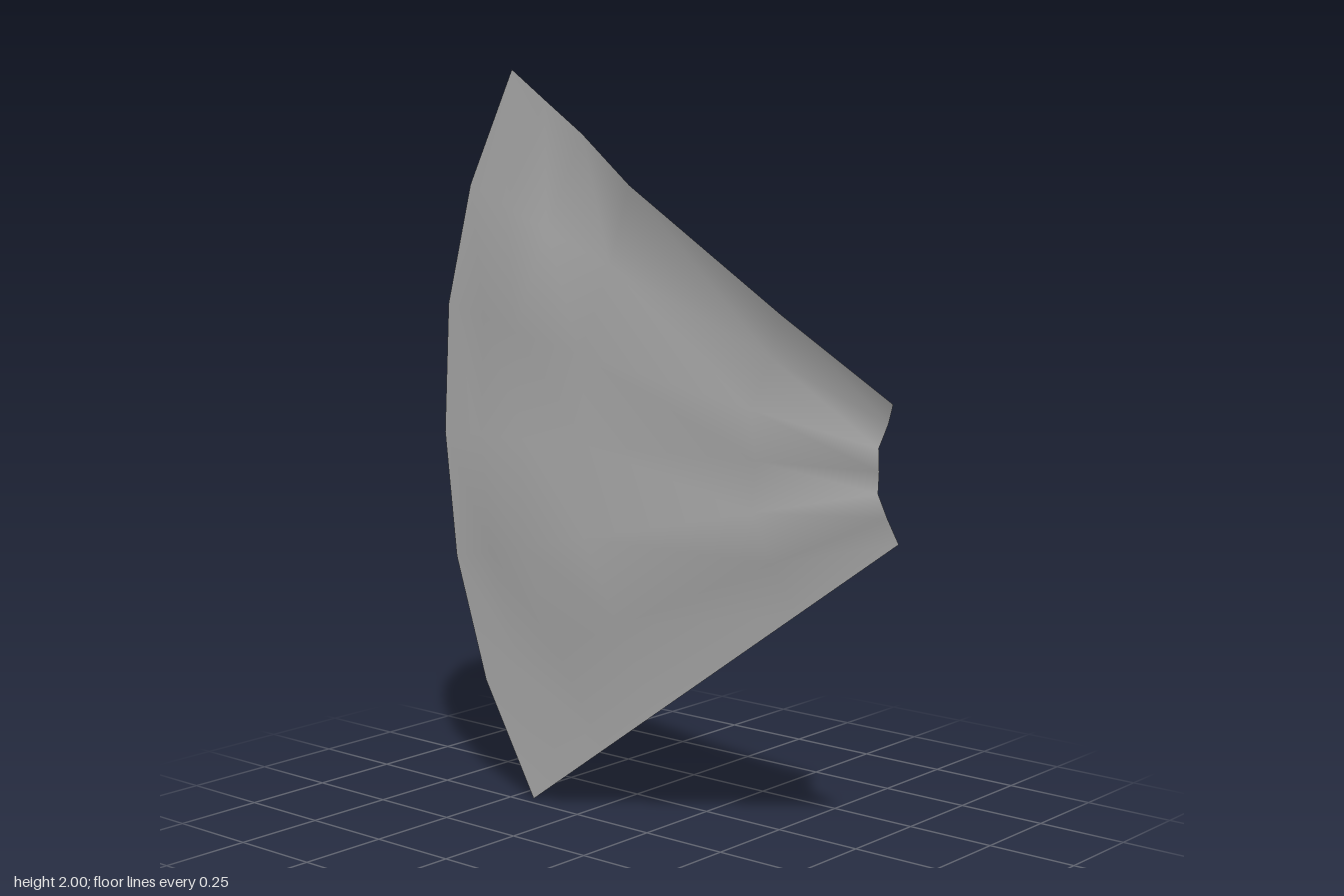
import * as THREE from 'three';

// One row per pleat spoke, from the top edge to the bottom edge:
// outer end, inner end, and depth at each ring along the spoke
const RINGS = [0, 0.1, 0.21, 0.37, 0.75, 1];
const RIDGE = [-0.03, -0.018, 0.03, 0.03, 0.018, -0.012];
const VALLEY = [-0.03, -0.022, -0.018, -0.018, -0.02, -0.03];
const FLAT = [-0.03, -0.03, -0.03, -0.03, -0.03, -0.03];
const SPOKES = [
  { outer: [-0.5, 2.0], inner: [0.76, 1.21], depth: [-0.03, -0.022, -0.015, 0.03, 0.019, -0.012] },
  { outer: [-0.66, 1.69], inner: [0.735, 1.16], depth: VALLEY },
  { outer: [-0.75, 1.36], inner: [0.72, 1.1], depth: RIDGE },
  { outer: [-0.77, 1.0], inner: [0.71, 1.04], depth: VALLEY },
  { outer: [-0.73, 0.65], inner: [0.72, 0.99], depth: RIDGE },
  { outer: [-0.62, 0.31], inner: [0.735, 0.93], depth: VALLEY },
  { outer: [-0.44, 0.0], inner: [0.77, 0.87], depth: FLAT },
];

// Loft a smooth sheet through the spokes
function pleatedSheet() {
  const positions = [];
  const indices = [];
  const n = RINGS.length;
  SPOKES.forEach(({ outer, inner, depth }, i) => {
    RINGS.forEach((t, j) => {
      positions.push(
        THREE.MathUtils.lerp(outer[0], inner[0], t),
        THREE.MathUtils.lerp(outer[1], inner[1], t),
        depth[j],
      );
      if (i < SPOKES.length - 1 && j < n - 1) {
        const a = i * n + j;
        const b = a + n;
        indices.push(a, b, b + 1, a, b + 1, a + 1);
      }
    });
  });
  const geometry = new THREE.BufferGeometry();
  geometry.setAttribute('position', new THREE.Float32BufferAttribute(positions, 3));
  geometry.setIndex(indices);
  geometry.computeVertexNormals();
  return geometry;
}

export function createModel() {
  const group = new THREE.Group();
  group.name = 'pleatedFan';

  const grey = new THREE.MeshStandardMaterial({ color: 0xb0b0b0, side: THREE.DoubleSide });
  grey.name = 'grey';

  const sheet = new THREE.Mesh(pleatedSheet(), grey);
  sheet.name = 'fanSheet';
  group.add(sheet);
  return group;
}
